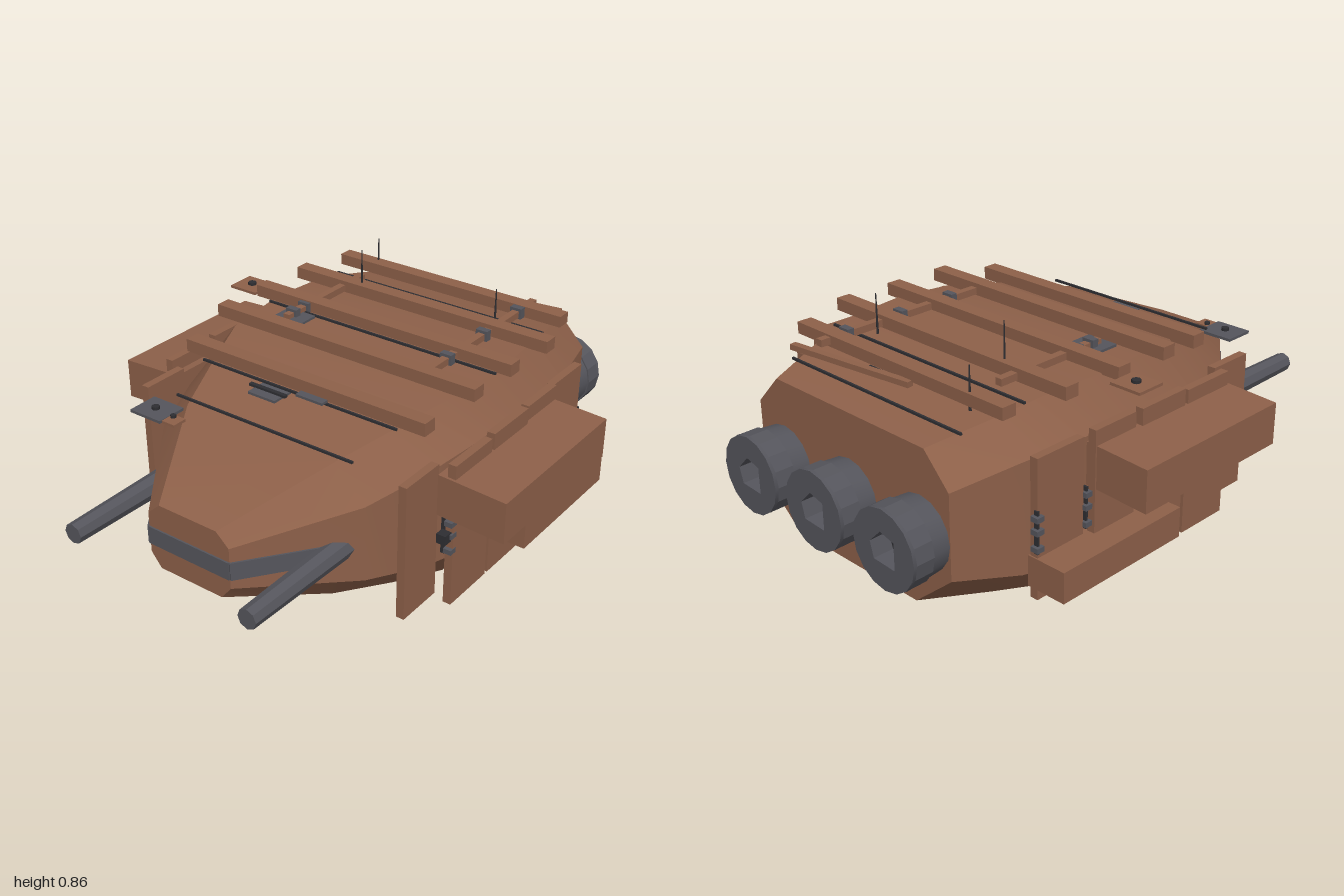
import * as THREE from 'three';
import { toCreasedNormals } from 'three/addons/utils/BufferGeometryUtils.js';

const material = (name, color) => {
  const m = new THREE.MeshStandardMaterial({ color });
  m.name = name;
  return m;
};

export function createModel() {
  const model = new THREE.Group();
  const rust = material('rust brown', 0x8d6049);
  const steel = material('steel grey', 0x55555c);
  const dark = material('dark iron', 0x2e2e32);

  const add = (name, geometry, mat, x = 0, y = 0, z = 0) => {
    const mesh = new THREE.Mesh(geometry, mat);
    mesh.name = name;
    mesh.position.set(x, y, z);
    model.add(mesh);
    return mesh;
  };
  // Box given by its limits on each axis
  const box = (name, mat, [x0, x1], [y0, y1], [z0, z1]) =>
    add(name, new THREE.BoxGeometry(Math.abs(x1 - x0), y1 - y0, Math.abs(z1 - z0)), mat,
      (x0 + x1) / 2, (y0 + y1) / 2, (z0 + z1) / 2);

  // Hull: octagonal sections [z, bottomY, lowY, highY, topY, bottomHalf, half, topHalf]
  const sections = [
    [0.85, 0.20, 0.25, 0.40, 0.445, 0.13, 0.17, 0.12],
    [0.50, 0.08, 0.19, 0.47, 0.59, 0.30, 0.43, 0.31],
    [0.28, 0.035, 0.15, 0.51, 0.64, 0.39, 0.51, 0.39],
    [0.08, 0.0, 0.13, 0.54, 0.68, 0.46, 0.555, 0.46],
    [-0.20, 0.0, 0.12, 0.55, 0.69, 0.46, 0.575, 0.49],
    [-0.45, 0.0, 0.13, 0.55, 0.685, 0.45, 0.565, 0.47],
    [-0.62, 0.025, 0.15, 0.54, 0.655, 0.39, 0.535, 0.43],
    [-0.85, 0.06, 0.20, 0.50, 0.61, 0.30, 0.465, 0.36],
  ];
  const points = [], index = [];
  sections.forEach(([z, y0, y1, y2, y3, b, w, t]) => {
    [[-b, y0], [b, y0], [w, y1], [w, y2], [t, y3], [-t, y3], [-w, y2], [-w, y1]]
      .forEach(([x, y]) => points.push(x, y, z));
  });
  const last = (sections.length - 1) * 8;
  for (let i = 0; i < last; i += 8) {
    for (let j = 0; j < 8; j++) {
      const a = i + j, b = i + (j + 1) % 8;
      index.push(a, a + 8, b, b, a + 8, b + 8);
    }
  }
  for (let j = 1; j < 7; j++) index.push(0, j, j + 1, last, last + j + 1, last + j);
  const hull = new THREE.BufferGeometry();
  hull.setAttribute('position', new THREE.Float32BufferAttribute(points, 3));
  hull.setIndex(index);
  add('hull', toCreasedNormals(hull, 0.5), rust);

  // Grey visor band wrapped round the nose
  box('noseBand', steel, [-0.17, 0.17], [0.285, 0.35], [0.85, 0.856]);
  for (const s of [-1, 1]) {
    const dx = 0.20, dz = -0.27;
    const band = add('noseBandSide', new THREE.BoxGeometry(Math.hypot(dx, dz), 0.065, 0.008), steel,
      s * (0.17 + dx / 2 + 0.002), 0.3175, 0.85 + dz / 2 + 0.002);
    band.rotation.y = s * Math.atan2(-dz, dx);
  }

  // Engines: tapered shell, open throat and ring face with a square hole
  const face = new THREE.Shape().absarc(0, 0, 0.139, 0, Math.PI * 2);
  const hole = new THREE.Path();
  [[0.06, 0.01], [0.01, 0.06], [-0.05, 0.045], [-0.05, -0.05], [0.045, -0.045]]
    .forEach(([x, y], i) => (i ? hole.lineTo(x, y) : hole.moveTo(x, y)));
  hole.closePath();
  face.holes.push(hole);
  const ringFace = new THREE.ExtrudeGeometry(face, { depth: 0.08, bevelEnabled: false, curveSegments: 8 });
  for (const x of [-0.335, 0, 0.335]) {
    const shell = add('engineShell', toCreasedNormals(
      new THREE.CylinderGeometry(0.127, 0.14, 0.17, 16, 1, true), 0.7), steel, x, 0.32, -0.915);
    shell.rotation.x = Math.PI / 2;
    add('engineNozzle', ringFace, steel, x, 0.32, -0.999);
    const throat = add('engineThroat', new THREE.CircleGeometry(0.08, 8), dark, x, 0.32, -0.925);
    throat.rotation.y = Math.PI;
  }

  for (const s of [-1, 1]) {
    // Cannons
    const barrel = add('cannon', toCreasedNormals(
      new THREE.CylinderGeometry(0.036, 0.043, 0.5, 8), 0.6), steel, s * 0.367, 0.318, 0.75);
    barrel.rotation.x = Math.PI / 2;

    // Side armour slabs: [zFront, zBack, bottom, top, outerX]
    for (const [z1, z0, y0, y1, x] of [
      [0.465, 0.285, 0.07, 0.57, 0.56],
      [0.28, 0.065, 0.045, 0.58, 0.62],
      [0.05, -0.165, 0.045, 0.59, 0.62],
      [-0.185, -0.375, 0.05, 0.585, 0.61],
      [-0.40, -0.605, 0.075, 0.565, 0.585],
    ]) box('armourSlab', rust, [s * (x - 0.03), s * x], [y0, y1], [z0, z1]);

    // Upper pod droops slightly outward, lower pod is a plain block
    const pod = new THREE.BoxGeometry(0.25, 0.15, 0.66);
    const p = pod.attributes.position;
    for (let i = 0; i < p.count; i++) p.setY(i, p.getY(i) - s * p.getX(i) * 0.05);
    pod.computeVertexNormals();
    add('upperPod', pod, rust, s * 0.685, 0.452, -0.04);
    box('lowerPod', rust, [s * 0.55, s * 0.70], [0.115, 0.225], [-0.61, -0.055]);

    // Fasteners between slabs
    box('sideBlock', dark, [s * 0.58, s * 0.615], [0.30, 0.335], [0.285, 0.32]);
    for (const z of [0.28, 0.057, -0.175, -0.388, -0.605]) {
      for (const y of [0.26, 0.32, 0.365]) {
        const x = z < -0.3 ? 0.60 : 0.622;
        box('fastener', steel, [s * (x - 0.03), s * x], [y - 0.009, y + 0.009], [z - 0.015, z + 0.015]);
      }
      box('fastenerRod', dark, [s * 0.575, s * 0.59], [0.24, 0.39], [z - 0.004, z + 0.004]);
    }
  }

  // Roof slats: [xMin, xMax, bottom, top, z]
  for (const [x0, x1, y0, y1, z] of [
    [-0.51, 0.50, 0.645, 0.692, 0.253],
    [-0.56, 0.54, 0.685, 0.73, 0.03],
    [-0.56, 0.545, 0.685, 0.73, -0.19],
    [-0.545, 0.555, 0.685, 0.73, -0.413],
    [-0.50, 0.485, 0.68, 0.722, -0.635],
  ]) box('roofSlat', rust, [x0, x1], [y0, y1], [z - 0.028, z + 0.028]);

  // Lengthwise roof rails and their clamps
  box('roofRail', rust, [-0.34, -0.313], [0.69, 0.715], [-0.51, -0.05]);
  box('roofRail', rust, [0.307, 0.334], [0.69, 0.715], [-0.70, 0]);
  for (const [x, z] of [[-0.327, -0.16], [-0.327, -0.09], [0.32, -0.35], [0.32, -0.585], [0.32, -0.12]])
    box('railClamp', steel, [x - 0.023, x + 0.023], [0.685, 0.725], [z - 0.013, z + 0.013]);

  // Antennas: [x, tip height, z]
  for (const [x, top, z] of [[-0.257, 0.86, -0.415], [0.29, 0.825, -0.478], [-0.348, 0.81, -0.65]])
    add('antenna', new THREE.CylinderGeometry(0.002, 0.005, top - 0.66, 6), dark, x, (top + 0.66) / 2, z);

  // Thin roof seams: [xMin, xMax, y, z]
  for (const [x0, x1, y, z] of [[-0.41, 0.41, 0.652, 0.305], [-0.37, 0.37, 0.604, 0.485],
    [-0.48, 0.50, 0.693, -0.14], [-0.46, 0.46, 0.681, -0.53], [-0.41, 0.41, 0.636, -0.745]])
    box('roofSeam', dark, [x0, x1], [y - 0.004, y + 0.004], [z - 0.004, z + 0.004]);

  // Hatches and sensor plates
  box('sensorPlate', rust, [-0.685, -0.565], [0.688, 0.698], [-0.265, -0.155]);
  add('sensorKnob', new THREE.CylinderGeometry(0.016, 0.016, 0.012, 8), dark, -0.625, 0.702, -0.21);
  box('cannonPlate', steel, [-0.455, -0.32], [0.57, 0.58], [0.51, 0.625]);
  box('cannonBracket', rust, [-0.32, -0.265], [0.568, 0.578], [0.56, 0.615]);
  add('plateKnob', new THREE.CylinderGeometry(0.014, 0.014, 0.012, 8), dark, -0.39, 0.585, 0.57);
  add('plateKnob', new THREE.CylinderGeometry(0.01, 0.01, 0.012, 8), dark, -0.305, 0.582, 0.575);
  box('roofHatch', steel, [-0.14, -0.025], [0.638, 0.647], [0.30, 0.385]);
  box('hatchHandle', dark, [-0.165, -0.01], [0.646, 0.655], [0.335, 0.35]);
  box('roofVent', steel, [0.02, 0.13], [0.656, 0.665], [0.30, 0.33]);
  box('rearHatch', steel, [-0.38, -0.258], [0.689, 0.698], [-0.13, -0.02]);

  // Slanted plating strip at the roof's rear
  const strip = box('rearStrip', rust, [-0.10, 0.42], [0.665, 0.685], [-0.715, -0.69]);
  strip.rotation.y = 0.13;
  box('rearVent', dark, [0.03, 0.10], [0.66, 0.68], [-0.68, -0.665]);
  return model;
}
